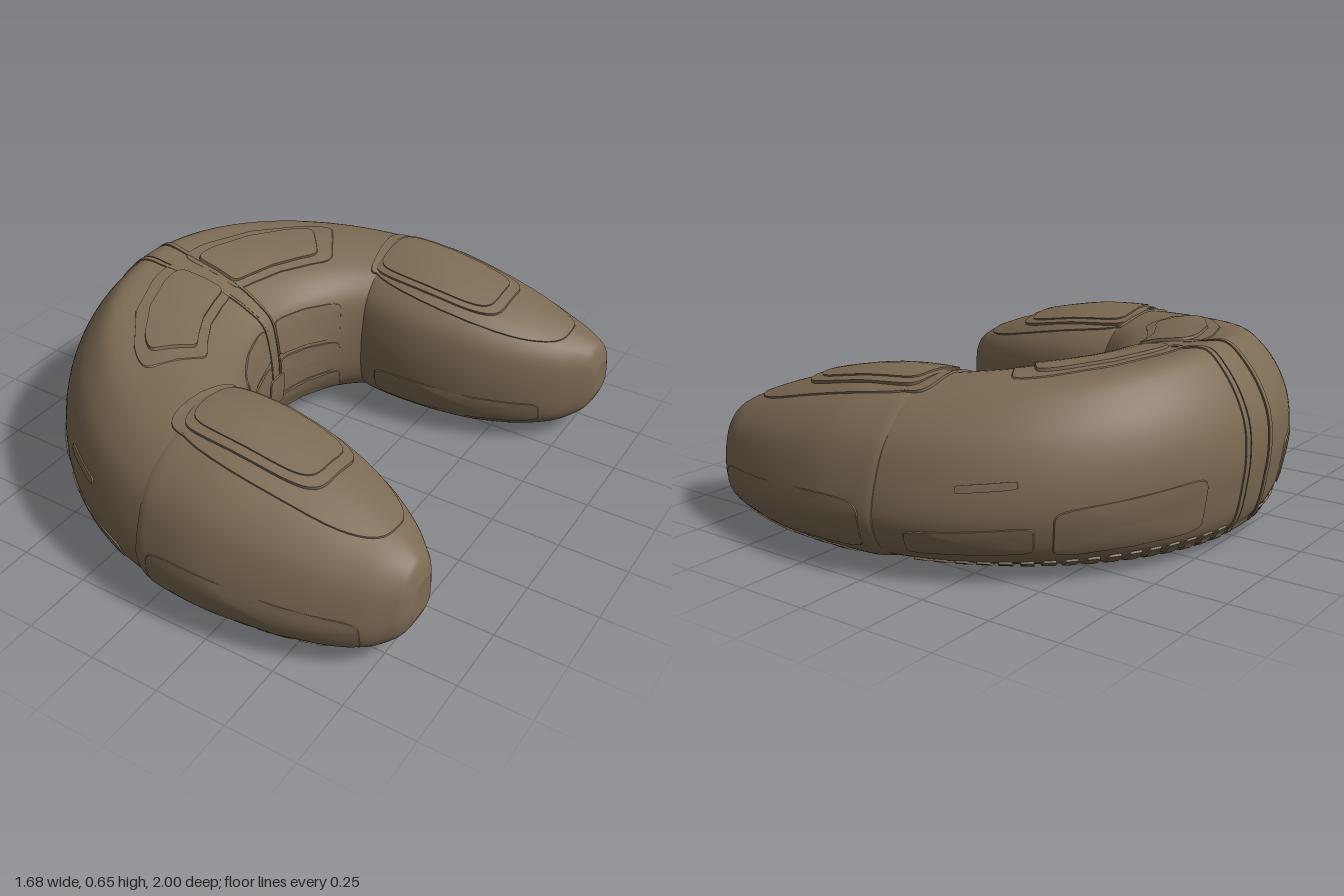
import * as THREE from 'three';

// Cross-sections as [across from inner to outer edge, height], 20 points each
const ARC = [[0, .42], [.015, .6], [.05, .75], [.14, .83], [.25, .89], [.4, .945], [.62, .98], [.76, .995], [.86, .9], [.94, .77],
  [.99, .62], [1, .45], [.985, .3], [.96, .15], [.92, .06], [.84, .01], [.3, 0], [.1, .03], [.05, .1], [.015, .22]];
const POD = [[0, .42], [.01, .6], [.05, .78], [.14, .9], [.25, .96], [.42, 1], [.58, .97], [.72, .9], [.83, .8], [.91, .68],
  [.97, .5], [1, .33], [.98, .2], [.93, .11], [.83, .04], [.65, 0], [.3, 0], [.14, .05], [.05, .14], [.01, .27]];
const N = ARC.length;

// Arm stations: x, inner z, outer z, bottom y, top y
const STATIONS = [[-.03, .37, .974, .03, .56], [.02, .34, .986, .012, .572], [.2, .328, .997, .01, .56], [.4, .355, .975, .01, .52],
  [.55, .405, .94, .02, .477], [.65, .455, .905, .034, .442], [.73, .51, .87, .055, .41], [.79, .57, .825, .09, .38],
  [.82, .605, .795, .125, .355], [.838, .64, .75, .17, .3]];

// Catmull-Rom interpolation through rows of numbers
function spline(rows, p, closed) {
  const n = rows.length;
  const i = Math.min(Math.floor(p), closed ? Infinity : n - 2), f = p - i;
  const at = j => rows[closed ? ((j % n) + n) % n : Math.max(0, Math.min(n - 1, j))];
  const [a, b, c, d] = [at(i - 1), at(i), at(i + 1), at(i + 2)];
  return b.map((_, q) => b[q] + .5 * f * (c[q] - a[q] + f * (2 * a[q] - 5 * b[q] + 4 * c[q] - d[q]
    + f * (3 * (b[q] - c[q]) + d[q] - a[q]))));
}

const T_END = 1.53;

// Curved rear hull: t is the angle around the ring, k the place on the section
function arcSurface(t, k) {
  const w = Math.abs(t) / T_END, a = t * .625, m = w * w * (3 - 2 * w);
  const p = spline(ARC, k, true), q = spline(POD, k, true);
  const u = p[0] + (q[0] - p[0]) * m, v = p[1] + (q[1] - p[1]) * m;
  const ix = .3 - .45 * Math.cos(a), iz = .45 * Math.sin(a);
  const ox = .15 - .987 * Math.cos(t), oz = .987 * Math.sin(t);
  const top = .64 - .08 * w ** 1.5;
  return new THREE.Vector3(ix + (ox - ix) * u, .022 + v * (top - .022), iz + (oz - iz) * u);
}

// Arm hull for one side: a runs over the stations from the ring to the tip
const podSurface = side => (a, k) => {
  const [x, zi, zo, y0, y1] = spline(STATIONS, a, false), [u, v] = spline(POD, k, true);
  return new THREE.Vector3(x, y0 + v * (y1 - y0), side * (zi + (zo - zi) * u));
};

function lifted(surface, a, k, lift, flip) {
  const e = .02, p = surface(a, k);
  const da = surface(a + e, k).sub(surface(a - e, k)), dk = surface(a, k + e).sub(surface(a, k - e));
  return p.addScaledVector(dk.cross(da).normalize(), flip ? -lift : lift);
}

function meshFrom(name, points, faces, flip, material) {
  const g = new THREE.BufferGeometry().setFromPoints(points);
  g.setIndex(faces.flatMap(([a, b, c]) => flip ? [a, c, b] : [a, b, c]));
  g.computeVertexNormals();
  const mesh = new THREE.Mesh(g, material);
  mesh.name = name;
  return mesh;
}

// Closed tube over a surface, with a fan at each end
function hull(name, surface, a0, a1, rows, flip, material, lift = 0) {
  const cols = N * 4, points = [], faces = [];
  for (let i = 0; i <= rows; i++) for (let j = 0; j < cols; j++) {
    const a = a0 + (a1 - a0) * i / rows, k = j * N / cols;
    points.push(lift ? lifted(surface, a, k, lift, flip) : surface(a, k));
  }
  for (let i = 0; i < rows; i++) for (let j = 0; j < cols; j++) {
    const p = i * cols + j, q = i * cols + (j + 1) % cols;
    faces.push([p, q, p + cols], [q, q + cols, p + cols]);
  }
  for (const end of [0, rows]) {
    const ring = points.slice(end * cols, end * cols + cols);
    const centre = ring.reduce((s, p) => s.add(p), new THREE.Vector3()).divideScalar(cols);
    const base = points.length;
    points.push(...ring.map(p => p.clone()), centre);
    for (let j = 0; j < cols; j++) {
      const n = base + (j + 1) % cols;
      faces.push(end ? [base + j, n, base + cols] : [n, base + j, base + cols]);
    }
  }
  return meshFrom(name, points, faces, flip, material);
}

// Raised plate following a surface, with a rounded-rectangle outline
function plate(name, surface, [a0, a1], [k0, k1], lift, material, flip = false, power = 5) {
  const rings = [[0, lift], [.25, lift], [.5, lift], [.75, lift], [.97, lift], [.97, lift], [1, -.006]];
  const n = 48, points = [], faces = [];
  const bend = v => Math.sign(v) * Math.abs(v) ** (2 / power);
  for (const [r, h] of rings) for (let j = 0; j < n; j++) {
    const w = j / n * Math.PI * 2;
    points.push(lifted(surface, (a0 + a1) / 2 + r * bend(Math.cos(w)) * (a1 - a0) / 2,
      (k0 + k1) / 2 + r * bend(Math.sin(w)) * (k1 - k0) / 2, h, flip));
  }
  for (let i = 0; i < rings.length - 1; i++) {
    if (i === 4) continue; // doubled ring keeps the plate edge sharp
    for (let j = 0; j < n; j++) {
      const p = i * n + j, q = i * n + (j + 1) % n;
      if (i > 0) faces.push([p, q, p + n]);
      faces.push([q, q + n, p + n]);
    }
  }
  return meshFrom(name, points, faces, flip, material);
}

export function createModel() {
  const group = new THREE.Group();
  const brown = new THREE.MeshStandardMaterial({ color: 0x7d6b54 });
  brown.name = 'brown hull';

  group.add(hull('rearHull', arcSurface, -T_END, T_END, 90, false, brown));

  // Spine band and its two ridges across the middle
  group.add(hull('spineBand', arcSurface, -.06, .06, 6, false, brown, .003));
  for (const t of [-.08, .08]) group.add(hull('spineRidge', arcSurface, t - .012, t + .012, 2, false, brown, .005));

  for (const side of [1, -1]) {
    const arcPlate = (name, t, k, lift, power) =>
      group.add(plate(name, arcSurface, side > 0 ? t : [-t[1], -t[0]], k, lift, brown, false, power));
    arcPlate('topPanelBorder', [.02, .98], [3.9, 6.1], .004, 8);
    arcPlate('topPanel', [.06, .86], [4.25, 5.75], .014, 8);
    arcPlate('armCollar', [1.31, 1.52], [3.3, 6.5], .008, 4);
    arcPlate('rearSidePanel', [.27, .82], [11, 13.1], .005, 8);
    arcPlate('middleSidePanel', [.87, 1.29], [11.5, 12.8], .005, 8);
    arcPlate('sideSlot', [.92, 1.12], [9.95, 10.2], .005, 8);
    // Bands on the inner wall
    for (const k of [[.5, 1.9], [-.9, .4], [-2.4, -1]]) arcPlate('innerWallPanel', [.09, 1.1], k, .004, 10);
    // Ribs under the outer edge and plates beneath
    for (let i = 0; i < 16; i++) arcPlate('lowerRib', [.12 + i * .075, .17 + i * .075], [13.6, 15.1], .007, 8);
    for (let i = 0; i < 4; i++) {
      arcPlate('bottomPlate', [.1 + i * .3, .36 + i * .3], [15.15, 15.75], .006, 8);
      arcPlate('bottomPlate', [.1 + i * .3, .36 + i * .3], [15.85, 16.5], .005, 8);
    }

    // Arm with its top panel, side panels and foot pad
    const surface = podSurface(side), flip = side < 0;
    group.add(hull('arm', surface, 0, STATIONS.length - 1, 72, flip, brown));
    const podPlate = (name, a, k, lift, power) => group.add(plate(name, surface, a, k, lift, brown, flip, power));
    podPlate('armPanelBorder', [.1, 5.9], [2.8, 6.9], .005, 2.5);
    podPlate('armTopPanel', [.5, 3.6], [3.3, 6.3], .014, 4);
    podPlate('armTopHatch', [.75, 3.35], [3.6, 6], .019, 4);
    podPlate('armSidePanel', [.9, 6], [10.4, 12.8], .003, 6);
    podPlate('armInnerPanel', [1.3, 5.5], [18, 19.6], .004, 6);
    podPlate('footPad', [.9, 2.5], [15.1, 16.1], .01, 8);
    for (let i = 0; i < 7; i++) podPlate('armLowerRib', [1.6 + i * .45, 1.9 + i * .45], [13.2, 14.1], .005, 8);
  }

  // Hatch in the middle of the inner wall
  group.add(plate('innerHatch', arcSurface, [-.16, .16], [-1.2, -.1], .01, brown, false, 10));
  return group;
}
